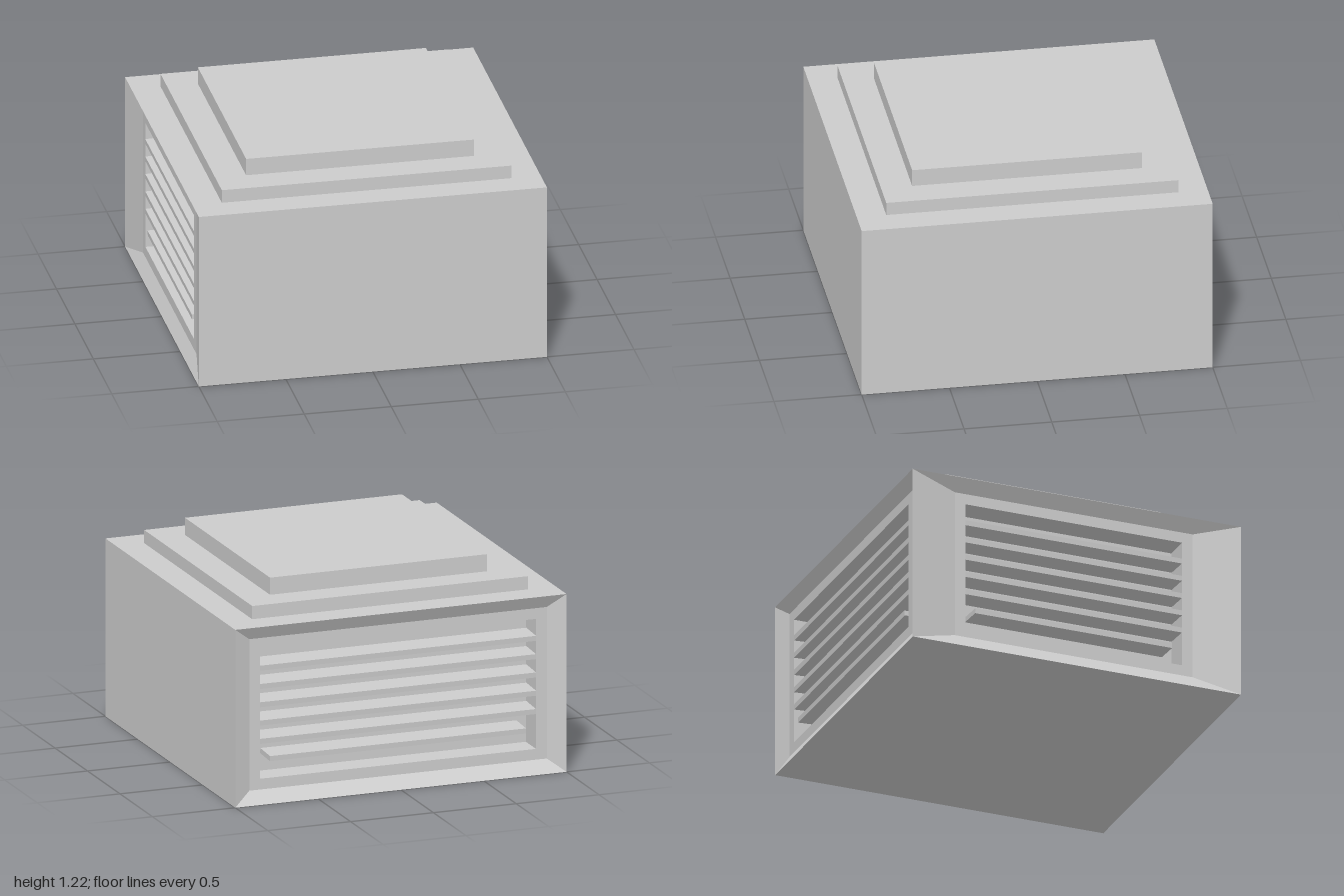
import * as THREE from 'three';

const H = 1.04;          // cabinet height
const RECESS = 0.045;    // depth of the louvre panel behind the cabinet face
const CAVITY = 0.2;      // depth of the back of the opening
const mat = new THREE.MeshStandardMaterial({ color: 0xcccccc, flatShading: true });

function add(parent, geometry, name, x = 0, y = 0, z = 0) {
  const mesh = new THREE.Mesh(geometry, mat);
  mesh.name = name;
  mesh.position.set(x, y, z);
  parent.add(mesh);
  return mesh;
}

// Rectangle loop, counter-clockwise seen from +z
function rect(halfWidth, margin, depth) {
  const z = 1 - depth, b = margin, t = H - margin;
  return [[-halfWidth, b, z], [halfWidth, b, z], [halfWidth, t, z], [-halfWidth, t, z]];
}

// Bevelled surround, flat frame, opening sides and back, from nested rectangles
function surroundGeometry(window) {
  const loops = [
    rect(1, 0, 0),
    rect(window + 0.065, 0.077, RECESS),
    rect(window, 0.14, RECESS),
    rect(window, 0.14, CAVITY),
  ];
  const pos = [];
  const quad = (a, b, c, d) => pos.push(...a, ...b, ...c, ...a, ...c, ...d);
  for (let i = 0; i < loops.length - 1; i++) {
    const o = loops[i], n = loops[i + 1];
    for (let k = 0; k < 4; k++) quad(o[k], o[(k + 1) % 4], n[(k + 1) % 4], n[k]);
  }
  quad(...loops[3]);
  const g = new THREE.BufferGeometry();
  g.setAttribute('position', new THREE.Float32BufferAttribute(pos, 3));
  g.computeVertexNormals();
  return g;
}

// One louvred side, built facing +z
function louvreSide(name, window) {
  const side = new THREE.Group();
  side.name = name;
  add(side, surroundGeometry(window), 'louvreSurround');
  const depth = 0.15;
  for (let i = 0; i < 6; i++) {
    // the lowest slat is shorter than the opening
    const half = i === 0 ? window - 0.06 : window;
    const slat = add(side, new THREE.BoxGeometry(half * 2, 0.03, depth), 'slat',
      0, 0.255 + i * 0.107, 1 - RECESS - depth / 2);
    slat.rotation.x = 0.05;
  }
  return side;
}

export function createModel() {
  const model = new THREE.Group();
  model.name = 'ventCabinet';

  // Plain walls, roof and base
  add(model, new THREE.PlaneGeometry(2, H), 'frontWall', 0, H / 2, 1);
  add(model, new THREE.PlaneGeometry(2, H), 'leftWall', 1, H / 2, 0).rotation.y = Math.PI / 2;
  add(model, new THREE.PlaneGeometry(2, 2), 'roof', 0, H, 0).rotation.x = -Math.PI / 2;
  add(model, new THREE.PlaneGeometry(2, 2), 'base', 0, 0, 0).rotation.x = Math.PI / 2;

  // Louvred back and right sides
  const back = louvreSide('backLouvres', 0.833);
  back.rotation.y = Math.PI;
  const right = louvreSide('rightLouvres', 0.66);
  right.rotation.y = -Math.PI / 2;
  model.add(back, right);

  // Stepped cap
  add(model, new THREE.BoxGeometry(1.664, 0.077, 1.664), 'lowerCap', 0, H + 0.0385, 0);
  add(model, new THREE.BoxGeometry(1.31, 0.1, 1.31), 'upperCap', 0, H + 0.127, 0);
  return model;
}
